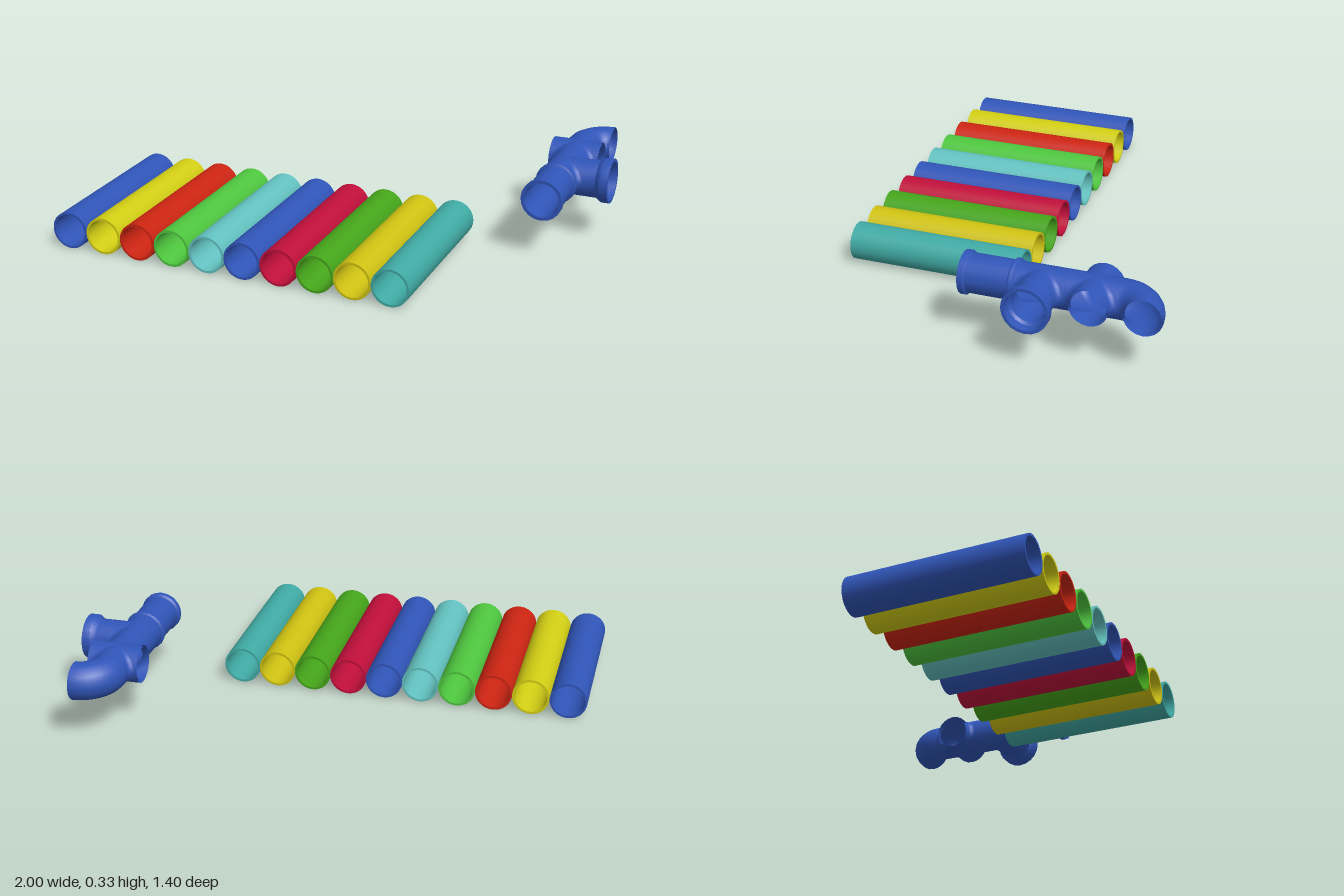
import * as THREE from 'three';
import { mergeGeometries, mergeVertices, toCreasedNormals } from 'three/addons/utils/BufferGeometryUtils.js';

const PIPE_COLORS = [0x3055b8, 0xd2ce14, 0xcc2412, 0x4ec63e, 0x62c2c0, 0x3055b8, 0xc00f3a, 0x45a51a, 0xcfc212, 0x40aaa4];
const SIDES = 20;
const OUTER = 0.075, INNER = 0.067, REACH = 0.1;

const material = (color) => new THREE.MeshStandardMaterial({ color, side: THREE.DoubleSide });

// Closed lathe ring from [radius, height] pairs, with sharp edges kept
function turned(profile, segments) {
  const pts = profile.map(([r, h]) => new THREE.Vector2(r, h));
  pts.push(pts[0].clone());
  return toCreasedNormals(new THREE.LatheGeometry(pts, segments), 0.6);
}

// One arm of a pipe junction along +x, mitred and filleted on the given z sides
function arm(r, filletSides) {
  const rings = 6, pos = [], index = [];
  for (let j = 0; j <= rings; j++) {
    for (let i = 0; i < SIDES; i++) {
      const a = (i / SIDES) * Math.PI * 2, c = Math.cos(a), w = Math.abs(c);
      let x = REACH * j / rings, z = r * c;
      if (filletSides.includes(Math.sign(c)) && j < rings) {
        const f = (REACH - r) * w, phi = Math.PI / 4 * (1 + j / (rings - 1));
        x = REACH * w - f * Math.cos(phi);
        z = Math.sign(c) * (REACH * w - f * Math.sin(phi));
      }
      pos.push(x, r * Math.sin(a), z);
      if (j < rings) {
        const n = j * SIDES + (i + 1) % SIDES, p = j * SIDES + i;
        index.push(p, p + SIDES, n, n, p + SIDES, n + SIDES);
      }
    }
  }
  const g = new THREE.BufferGeometry();
  g.setAttribute('position', new THREE.Float32BufferAttribute(pos, 3));
  g.setIndex(index);
  return g;
}

// Arms given as [turn about y, filleted sides], welded into a smooth shell
function junction(r, arms) {
  const g = mergeVertices(mergeGeometries(arms.map(([turn, sides]) => arm(r, sides).rotateY(turn))), 1e-4);
  g.computeVertexNormals();
  return g;
}

export function createModel() {
  const model = new THREE.Group();
  model.name = 'pipesAndFitting';

  const add = (parent, name, geometry, mat, x = 0, y = 0, z = 0) => {
    const mesh = new THREE.Mesh(geometry, mat);
    mesh.name = name;
    mesh.position.set(x, y, z);
    parent.add(mesh);
  };

  // Row of straight coloured pipes
  const pipe = turned([[0.075, -0.355], [0.075, 0.355], [0.066, 0.355], [0.066, -0.355]], 32).rotateX(Math.PI / 2);
  PIPE_COLORS.forEach((color, i) => add(model, `pipe${i + 1}`, pipe, material(color), -0.925 + 0.15 * i, 0.075, 0.345));

  // Assembled fitting
  const fitting = new THREE.Group();
  fitting.name = 'fitting';
  fitting.position.set(0.8, 0.2425, 0);
  model.add(fitting);
  const blue = material(0x3055b8);

  // Front socket with end lip and rear collar
  const socket = turned([
    [0.075, -0.135], [0.082, -0.13], [0.084, -0.122], [0.082, -0.114], [0.075, -0.11],
    [0.075, 0.053], [0.083, 0.06], [0.083, 0.08], [0.07, 0.08], [INNER, 0.06], [INNER, -0.135],
  ], SIDES).rotateX(Math.PI / 2);
  add(fitting, 'frontSocket', socket, blue);

  // Side socket with flared rim on the tee branch
  const branch = turned([
    [OUTER, 0.1], [OUTER, 0.148], [0.08, 0.153], [0.09, 0.168], [0.09, 0.2],
    [0.078, 0.2], [0.076, 0.165], [INNER, 0.155], [INNER, 0.1],
  ], SIDES).rotateZ(-Math.PI / 2);
  add(fitting, 'branchSocket', branch, blue, 0, 0, -0.225);

  // Tee, cross and elbow, each with an outer and an inner wall
  const q = Math.PI / 2, both = [-1, 1];
  for (const [wall, r] of [['Outer', OUTER], ['Inner', INNER]]) {
    add(fitting, `tee${wall}Wall`, junction(r, [[0, both], [-q, [-1]], [q, [1]]]), blue, 0, 0, -0.225);
    add(fitting, `cross${wall}Wall`, junction(r, [0, q, 2 * q, 3 * q].map((a) => [a, both])), blue, 0, 0, -0.425);
    const bend = new THREE.TorusGeometry(REACH, r, SIDES, 10, q).rotateZ(q).rotateX(-q);
    add(fitting, `elbow${wall}Wall`, bend, blue, REACH, 0, -0.525);
  }
  return model;
}
